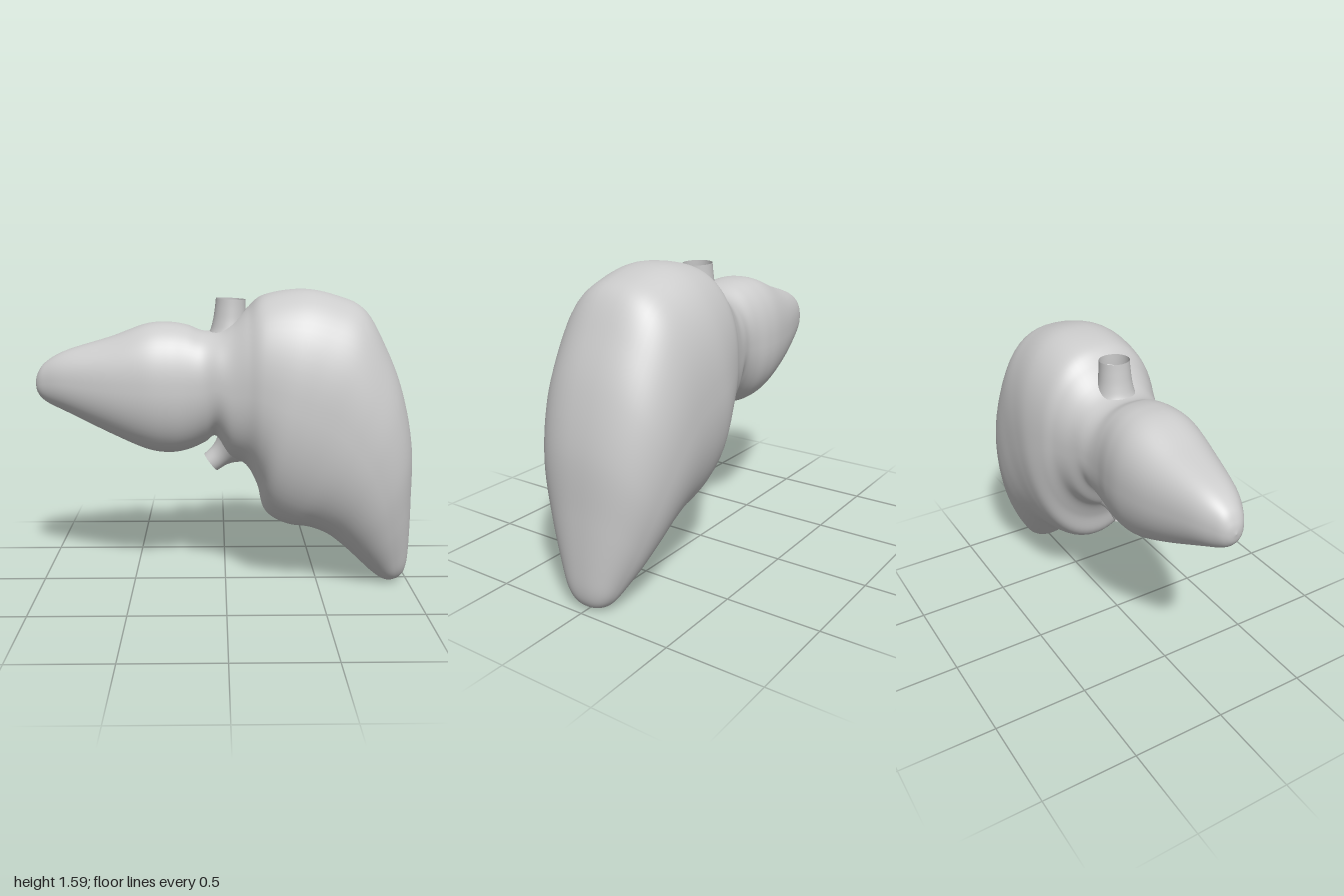
import * as THREE from 'three';

const material = new THREE.MeshStandardMaterial({ color: 0xcccccc, roughness: 0.7 });
const openMaterial = new THREE.MeshStandardMaterial({ color: 0xcccccc, roughness: 0.7, side: THREE.DoubleSide });

// Cross-sections from the small lobe's tip to the large lobe's tip:
// upper edge x, y, lower edge x, y, half depth
const SECTIONS = [
  [-1.0, 1.1, -1.0, 1.1, 0],
  [-0.985, 1.155, -0.985, 1.045, 0.045],
  [-0.94, 1.215, -0.94, 1.0, 0.085],
  [-0.83, 1.275, -0.83, 0.945, 0.14],
  [-0.6, 1.345, -0.6, 0.83, 0.212],
  [-0.42, 1.41, -0.42, 0.75, 0.247],
  [-0.3, 1.42, -0.3, 0.73, 0.248],
  [-0.2, 1.405, -0.2, 0.745, 0.236],
  [-0.12, 1.375, -0.11, 0.785, 0.238],
  [-0.04, 1.38, -0.05, 0.82, 0.255],
  [0.03, 1.42, 0.02, 0.715, 0.278],
  [0.11, 1.49, 0.11, 0.66, 0.31],
  [0.2, 1.56, 0.17, 0.55, 0.345],
  [0.4, 1.59, 0.2, 0.43, 0.376],
  [0.58, 1.555, 0.25, 0.37, 0.38],
  [0.72, 1.485, 0.34, 0.33, 0.378],
  [0.83, 1.3, 0.45, 0.315, 0.374],
  [0.92, 1.08, 0.55, 0.275, 0.356],
  [0.982, 0.8, 0.64, 0.205, 0.312],
  [0.995, 0.5, 0.72, 0.13, 0.245],
  [1.0, 0.25, 0.79, 0.062, 0.172],
  [0.995, 0.11, 0.84, 0.022, 0.122],
  [0.97, 0.035, 0.875, 0.004, 0.07],
  [0.925, 0.004, 0.925, 0.004, 0],
];

const signedPower = (v, p) => Math.sign(v) * Math.abs(v) ** p;

// Smooth body lofted through the sections, with softly squared ovals
function bodyGeometry(steps = 184, sides = 64) {
  const upper = new THREE.CatmullRomCurve3(SECTIONS.map(([x, y, , , d]) => new THREE.Vector3(x, y, d)), false, 'catmullrom', 0.5);
  const lower = new THREE.CatmullRomCurve3(SECTIONS.map(([, , x, y]) => new THREE.Vector3(x, y, 0)), false, 'catmullrom', 0.5);
  const positions = [];
  const index = [];
  for (let i = 0; i <= steps; i++) {
    const a = upper.getPoint(i / steps);
    const b = lower.getPoint(i / steps);
    for (let j = 0; j < sides; j++) {
      const angle = (j / sides) * Math.PI * 2;
      const power = Math.cos(angle) > 0 ? 2 / 2.4 : 2 / 2.05;
      const c = signedPower(Math.cos(angle), power);
      const s = signedPower(Math.sin(angle), power);
      positions.push(
        (a.x + b.x) / 2 + ((a.x - b.x) / 2) * c,
        (a.y + b.y) / 2 + ((a.y - b.y) / 2) * c,
        a.z * s,
      );
      if (i < steps) {
        const k = (j + 1) % sides;
        const p = i * sides + j, q = i * sides + k;
        index.push(p, q, p + sides, q, q + sides, p + sides);
      }
    }
  }
  const geometry = new THREE.BufferGeometry();
  geometry.setAttribute('position', new THREE.Float32BufferAttribute(positions, 3));
  geometry.setIndex(index);
  geometry.computeVertexNormals();
  return geometry;
}

// Open tube with a flared root; the profile lists radius, height along the axis
function vessel(name, profile, x, y, tilt) {
  const curve = new THREE.SplineCurve(profile.map(([r, h]) => new THREE.Vector2(r, h)));
  const mesh = new THREE.Mesh(new THREE.LatheGeometry(curve.getPoints(20), 40), openMaterial);
  mesh.name = name;
  mesh.position.set(x, y, 0);
  mesh.rotation.z = tilt;
  return mesh;
}

export function createModel() {
  const group = new THREE.Group();
  group.name = 'liver';

  const body = new THREE.Mesh(bodyGeometry(), material);
  body.name = 'lobes';
  group.add(body);

  group.add(vessel('upperVein', [[0.15, 0], [0.105, 0.06], [0.088, 0.12], [0.08, 0.19], [0.077, 0.24]], 0.015, 1.3, -0.05));
  group.add(vessel('lowerVein', [[0.13, 0], [0.085, 0.06], [0.064, 0.11], [0.057, 0.17]], 0.055, 0.775, Math.PI - 0.9));

  return group;
}
